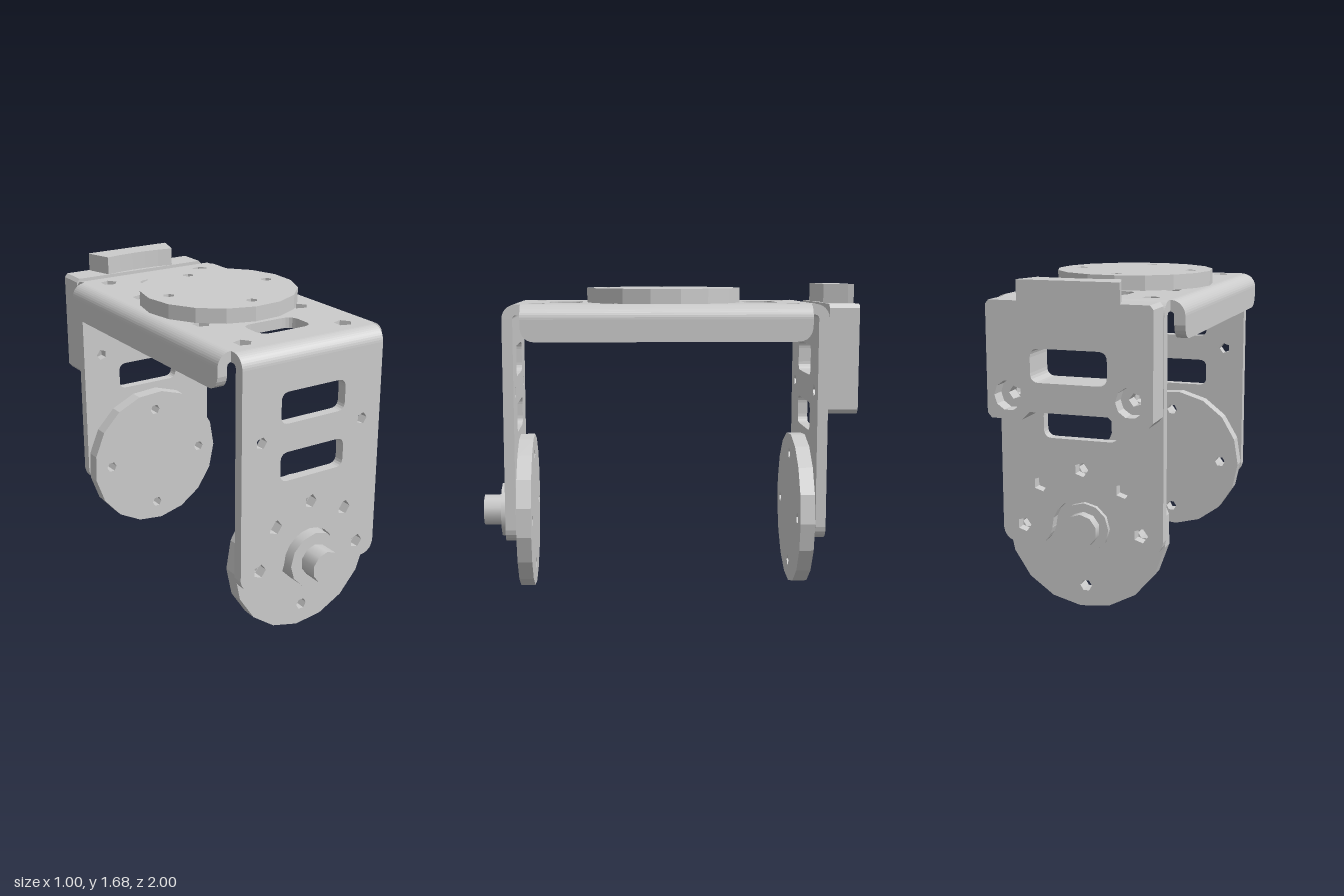
import * as THREE from 'three';

const material = new THREE.MeshStandardMaterial({ color: 0xcccccc, side: THREE.DoubleSide });
const T = 0.055;      // sheet thickness
const R = 0.075;      // outer bend radius
const TOP = 1.58;     // upper face of the bracket
const DEPTH = 0.847;  // half depth of the bracket
const HUB_Y = 0.425;  // height of the pivot axis

function polygon(x, y, r, sides, start = 0) {
  return Array.from({ length: sides }, (_, i) => {
    const a = start + (i / sides) * Math.PI * 2;
    return new THREE.Vector2(x + r * Math.cos(a), y + r * Math.sin(a));
  });
}

const hole = (x, y, r, sides = 5, start = 0) => new THREE.Path(polygon(x, y, r, sides, start));

// Rounded rectangular hole
function slot(x, y, w, h, r) {
  const p = new THREE.Path(), a = w / 2, b = h / 2;
  p.moveTo(x - a + r, y - b);
  p.lineTo(x + a - r, y - b).quadraticCurveTo(x + a, y - b, x + a, y - b + r);
  p.lineTo(x + a, y + b - r).quadraticCurveTo(x + a, y + b, x + a - r, y + b);
  p.lineTo(x - a + r, y + b).quadraticCurveTo(x - a, y + b, x - a, y + b - r);
  p.lineTo(x - a, y - b + r).quadraticCurveTo(x - a, y - b, x - a + r, y - b);
  return p;
}

function slab(name, shape, depth, holes = []) {
  shape.holes.push(...holes);
  const geo = new THREE.ExtrudeGeometry(shape, { depth, bevelEnabled: false, curveSegments: 5 });
  const mesh = new THREE.Mesh(geo, material);
  mesh.name = name;
  return mesh;
}

const fromPoints = (pts) => new THREE.Shape(pts.map(([x, y]) => new THREE.Vector2(x, y)));

// Quarter-round sheet bend, running along its local z
function bend(name, length) {
  const s = new THREE.Shape();
  s.absarc(0, 0, R, 0, Math.PI / 2, false);
  s.lineTo(0, R - T);
  s.absarc(0, 0, R - T, Math.PI / 2, 0, true);
  const mesh = slab(name, s, length);
  mesh.geometry.translate(0, 0, -length / 2);
  return mesh;
}

// Round horn: disc facing -z, hub and shaft pointing to +z
function makeHorn(name, hubLength, hubRadius, shaftLength) {
  const g = new THREE.Group();
  g.name = name;
  const holes = [0, 1, 2, 3].map((i) =>
    hole(0.31 * Math.cos(i * Math.PI / 2), 0.31 * Math.sin(i * Math.PI / 2), 0.031, 6));
  const disc = slab('hornDisc', new THREE.Shape(polygon(0, 0, 0.423, 17, -1.64)), 0.078, holes);
  disc.position.z = -0.078;
  const hub = new THREE.Mesh(new THREE.CylinderGeometry(hubRadius, hubRadius, hubLength, 12), material);
  hub.name = 'hornHub';
  hub.rotation.x = Math.PI / 2;
  hub.position.z = hubLength / 2;
  const shaft = new THREE.Mesh(new THREE.CylinderGeometry(0.086, 0.086, shaftLength, 10), material);
  shaft.name = 'hornShaft';
  shaft.rotation.x = Math.PI / 2;
  shaft.position.z = hubLength + shaftLength / 2;
  g.add(disc, hub, shaft);
  return g;
}

// Vertical plate with an arched cut-out around the hub
function makeLeg(name) {
  const g = new THREE.Group();
  g.name = name;
  const s = new THREE.Shape();
  s.moveTo(-0.425, TOP - R);
  s.lineTo(-0.425, 0.4).quadraticCurveTo(-0.415, 0.33, -0.34, 0.33);
  s.lineTo(-0.24, 0.33).quadraticCurveTo(-0.18, 0.335, -0.158, 0.42);
  s.absarc(0, HUB_Y, 0.158, Math.PI, 0, true);
  s.quadraticCurveTo(0.18, 0.335, 0.24, 0.33);
  s.lineTo(0.34, 0.33).quadraticCurveTo(0.415, 0.33, 0.425, 0.4);
  s.lineTo(0.425, TOP - R);
  const holes = [
    slot(0, 0.963, 0.39, 0.155, 0.045), slot(0, 1.272, 0.39, 0.165, 0.045),
    hole(0, 0.735, 0.038),
  ];
  for (const side of [-1, 1]) {
    holes.push(hole(side * 0.31, 1.12, 0.032), hole(side * 0.31, HUB_Y, 0.038),
      hole(side * 0.217, 0.645, 0.04));
  }
  const plate = slab('legPlate', s, T, holes);
  plate.position.z = DEPTH - T;
  const corner = bend('legBend', 0.85);
  corner.rotation.y = -Math.PI / 2;
  corner.position.set(0, TOP - R, DEPTH - R);
  g.add(plate, corner);
  return g;
}

function makeBracket() {
  const g = new THREE.Group();
  g.name = 'bracket';
  g.position.z = 0.005;
  const front = makeLeg('frontLeg');
  const back = makeLeg('backLeg');
  back.rotation.y = Math.PI;

  // Top plate with its hole pattern
  const z = DEPTH - R;
  const holes = [];
  for (let i = 0; i < 8; i++) {
    const a = i * Math.PI / 4;
    holes.push(hole(0.305 * Math.cos(a), 0.305 * Math.sin(a), 0.034));
  }
  for (const v of [-1, 1]) {
    holes.push(slot(0, v * 0.53, 0.31, 0.18, 0.06));
    for (const u of [-1, 1]) {
      holes.push(hole(u * 0.305, v * 0.675, 0.048), hole(u * 0.305, v * 0.305, 0.048));
    }
  }
  const top = slab('topPlate', fromPoints([[-0.425, -z], [0.425, -z], [0.425, z], [-0.425, z]]), T, holes);
  top.rotation.x = -Math.PI / 2;
  top.position.y = TOP - T;

  // Folded side flanges
  for (const side of [1, -1]) {
    const flange = new THREE.Group();
    flange.name = side > 0 ? 'leftFlange' : 'rightFlange';
    const s = new THREE.Shape();
    s.moveTo(-0.75, TOP - R);
    s.lineTo(-0.75, 1.46).quadraticCurveTo(-0.74, 1.39, -0.67, 1.39);
    s.lineTo(0.67, 1.39).quadraticCurveTo(0.74, 1.39, 0.75, 1.46);
    s.lineTo(0.75, TOP - R);
    const plate = slab('flangePlate', s, T);
    plate.rotation.y = Math.PI / 2;
    plate.position.x = 0.5 - T;
    const corner = bend('flangeBend', 1.5);
    corner.position.set(0.425, TOP - R, 0);
    flange.add(plate, corner);
    if (side < 0) flange.rotation.y = Math.PI;
    g.add(flange);
  }
  g.add(front, back, top);
  return g;
}

// Rear mounting block with counterbored holes, slot and top lug
function makeBlock() {
  const g = new THREE.Group();
  g.name = 'rearBlock';
  const outline = [[-0.422, 1.03], [-0.4, 1.005], [-0.24, 1.005], [-0.2, 1.045], [0.2, 1.045],
    [0.24, 1.005], [0.4, 1.005], [0.422, 1.03], [0.422, 1.56], [0.405, 1.58], [-0.405, 1.58], [-0.422, 1.56]];
  const layer = (name, z0, z1, r, sides) => {
    const m = slab(name, fromPoints(outline), z1 - z0,
      [slot(0, 1.272, 0.39, 0.165, 0.045), hole(-0.31, 1.12, r, sides), hole(0.31, 1.12, r, sides)]);
    m.position.z = z0;
    return m;
  };
  g.add(layer('blockOuter', -1, -0.92, 0.075, 10), layer('blockInner', -0.92, -0.842, 0.034, 5));

  const s = new THREE.Shape();
  s.moveTo(-0.26, 1);
  s.lineTo(0.26, 1).lineTo(0.255, 0.97).lineTo(0.215, 0.845);
  s.quadraticCurveTo(0, 0.89, -0.215, 0.845);
  s.lineTo(-0.255, 0.97);
  const lug = slab('topLug', s, 0.12);
  lug.rotation.x = -Math.PI / 2;
  lug.position.y = 1.56;
  g.add(lug);
  return g;
}

export function createModel() {
  const model = new THREE.Group();
  model.name = 'pivotBracket';
  model.add(makeBracket(), makeBlock());

  const frontHorn = makeHorn('frontHorn', 0.103, 0.15, 0.1);
  frontHorn.position.set(0, HUB_Y, 0.797);
  const backHorn = makeHorn('backHorn', 0.025, 0.13, 0.055);
  backHorn.rotation.y = Math.PI;
  backHorn.position.set(0, HUB_Y, -0.787);
  const topHorn = makeHorn('topHorn', 0.1, 0.15, 0.105);
  topHorn.rotation.x = Math.PI / 2;
  topHorn.position.y = TOP;
  model.add(frontHorn, backHorn, topHorn);
  return model;
}
